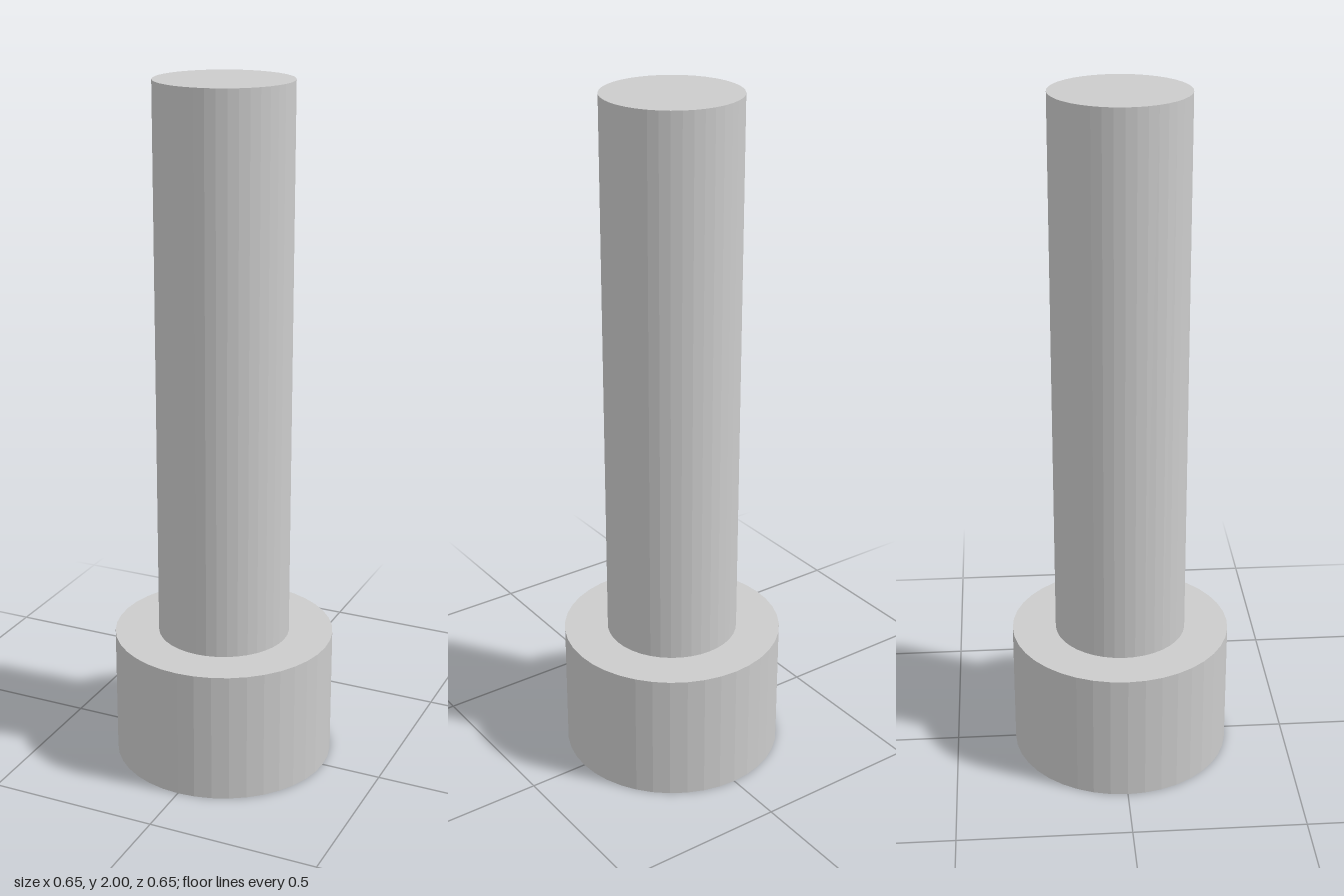
import * as THREE from 'three';

const SIDES = 40;

export function createModel() {
  const group = new THREE.Group();
  group.name = 'bolt';
  const material = new THREE.MeshStandardMaterial({ color: 0xcccccc, flatShading: true });

  // Upright cylinder standing between two heights
  const addCylinder = (name, radius, bottom, top) => {
    const mesh = new THREE.Mesh(new THREE.CylinderGeometry(radius, radius, top - bottom, SIDES), material);
    mesh.position.y = (bottom + top) / 2;
    mesh.name = name;
    group.add(mesh);
  };

  addCylinder('head', 0.3226, 0, 0.387);
  addCylinder('shaft', 0.1935, 0.387, 2);
  return group;
}
